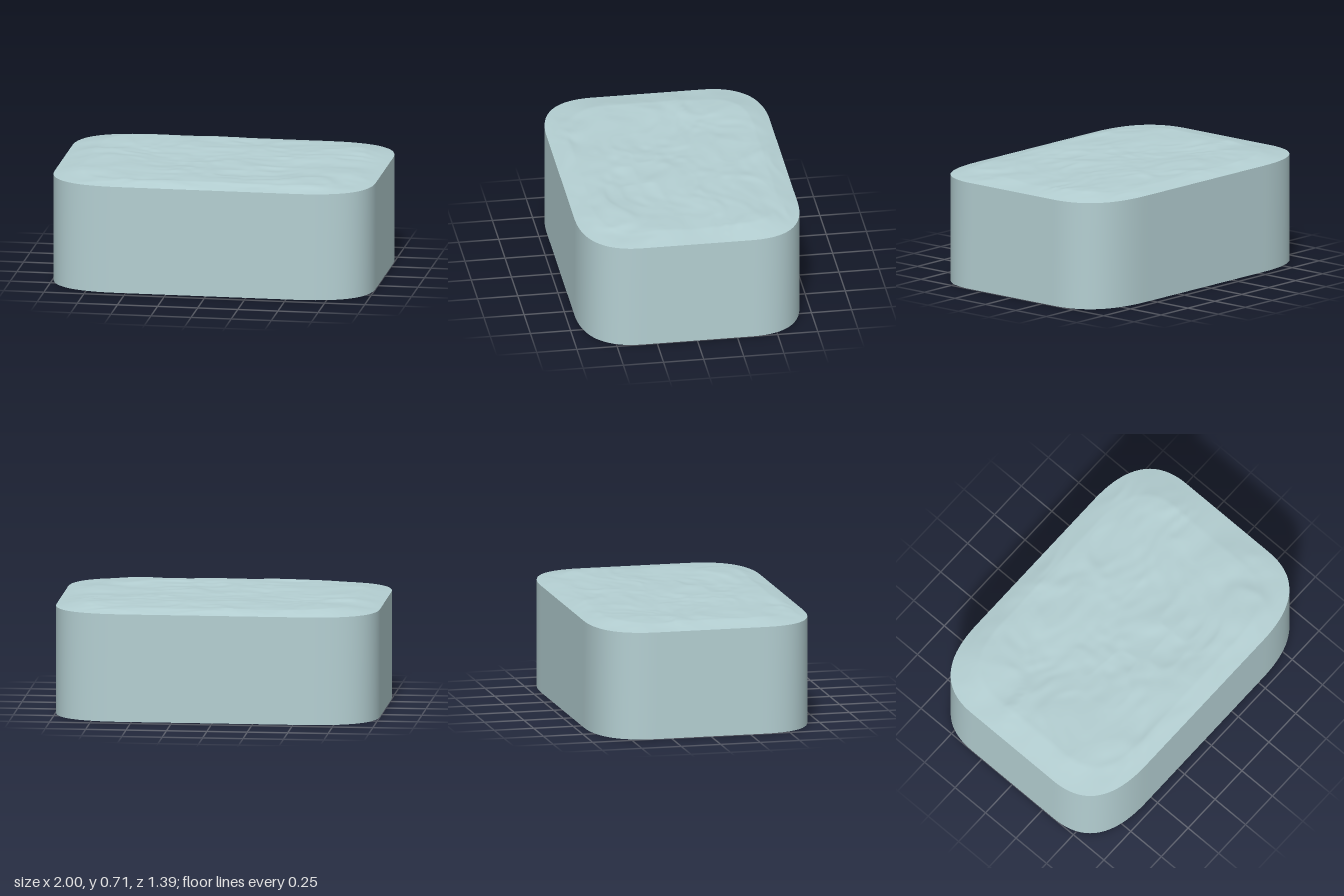
import * as THREE from 'three';

const HALF_X = 1, HALF_Z = 0.695, RIM = 0.67, SEGMENTS = 200;

// Rounded rectangle with long, soft corners, as evenly spaced [x, z] points
function outline() {
  const s = new THREE.Shape();
  const x = 0.55, z = 0.34;
  s.moveTo(HALF_X, -z);
  s.lineTo(HALF_X, z);
  s.quadraticCurveTo(HALF_X, HALF_Z, x, HALF_Z);
  s.lineTo(-x, HALF_Z);
  s.quadraticCurveTo(-HALF_X, HALF_Z, -HALF_X, z);
  s.lineTo(-HALF_X, -z);
  s.quadraticCurveTo(-HALF_X, -HALF_Z, -x, -HALF_Z);
  s.lineTo(x, -HALF_Z);
  s.quadraticCurveTo(HALF_X, -HALF_Z, HALF_X, -z);
  return s.getSpacedPoints(SEGMENTS).slice(0, SEGMENTS);
}

// Closed loops of points joined into a smooth surface
function loft(rings) {
  const positions = [], index = [], n = rings[0].length;
  rings.forEach((ring, r) => ring.forEach((p, i) => {
    positions.push(...p);
    if (r === rings.length - 1) return;
    const a = r * n + i, c = r * n + (i + 1) % n;
    index.push(a, a + n, c, a + n, c + n, c);
  }));
  const g = new THREE.BufferGeometry();
  g.setAttribute('position', new THREE.Float32BufferAttribute(positions, 3));
  g.setIndex(index);
  g.computeVertexNormals();
  return g;
}

// Seeded smooth value noise in 0..1
function hash(i, j) {
  const v = Math.sin(i * 127.1 + j * 311.7 + 4.2) * 43758.5453;
  return v - Math.floor(v);
}
function noise(x, z) {
  const i = Math.floor(x), j = Math.floor(z);
  const ease = (t) => t * t * (3 - 2 * t);
  const u = ease(x - i), v = ease(z - j);
  const near = THREE.MathUtils.lerp(hash(i, j), hash(i + 1, j), u);
  const far = THREE.MathUtils.lerp(hash(i, j + 1), hash(i + 1, j + 1), u);
  return THREE.MathUtils.lerp(near, far, v);
}

// Rough, streaky rock relief that fades to nothing at the rim
function relief(x, z, scale) {
  const wx = x + 0.25 * noise(x * 3 + 7, z * 3), wz = z + 0.25 * noise(x * 3, z * 3 + 9);
  const broad = noise(wx * 3, wz * 5) - 0.5;
  const ridges = 0.5 - Math.abs(2 * noise(wx * 4 + 20, wz * 8 + 5) - 1);
  const fine = noise(wx * 11, wz * 17) - 0.5;
  const edge = THREE.MathUtils.clamp((1 - scale) / 0.17, 0, 1);
  return edge * (0.024 + 0.018 * broad + 0.008 * ridges + 0.006 * fine);
}

export function createModel() {
  const group = new THREE.Group();
  const paleStone = new THREE.MeshStandardMaterial({ color: 0xb4cfd2 });
  const points = outline();
  const add = (name, rings) => {
    const mesh = new THREE.Mesh(loft(rings), paleStone);
    mesh.name = name;
    group.add(mesh);
  };
  const flatRing = (y, s) => points.map((p) => [p.x * s, y, p.y * s]);

  add('sideWall', [flatRing(0, 1), flatRing(RIM, 1)]);
  add('underside', [flatRing(0, 0), flatRing(0, 1)]);

  // Rugged top, built as rings shrinking to the centre
  const topRings = [];
  const steps = 70;
  for (let r = 0; r <= steps; r++) {
    const s = 1 - r / steps;
    topRings.push(points.map((p) => {
      const x = p.x * s, z = p.y * s;
      return [x, RIM + relief(x, z, s), z];
    }));
  }
  add('ruggedTop', topRings);
  return group;
}
